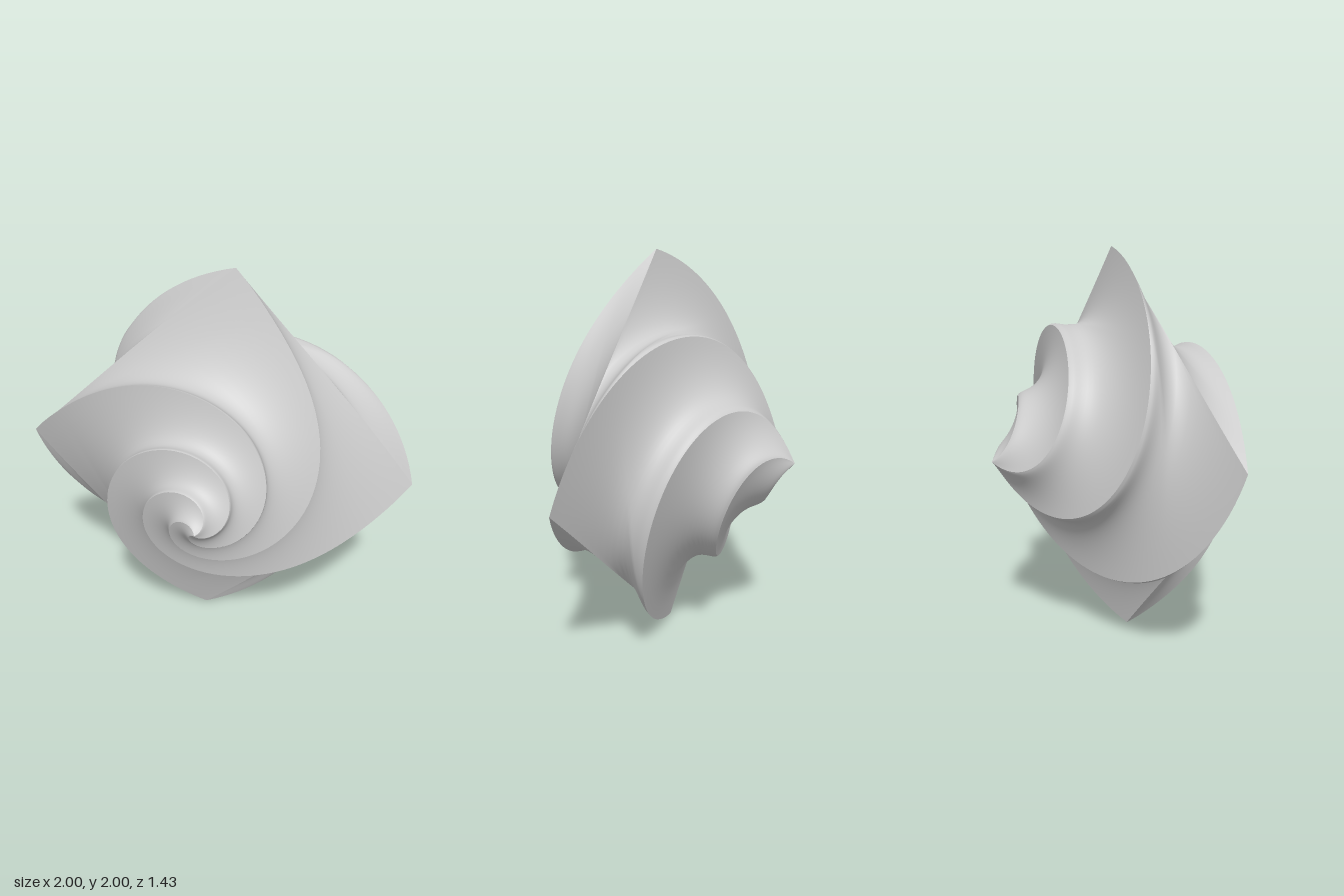
import * as THREE from 'three';
import { ParametricGeometry } from 'three/addons/geometries/ParametricGeometry.js';

const HALF = 0.715;         // distance from the rim to either point
const START = 85.6;         // angle of the first corner at the rim, degrees
const RAD = Math.PI / 180;

// Twist in degrees at depth z: steady at the back, quickening towards the front
const twist = z => z < 0 ? -270 * z + 80 * z * z : -(110 * z + 1150 * z ** 3 - 600 * z ** 4);

// Each side swells under the ridge that overhangs it, hardly at all near the rim
const swell = (u, z) => 6.75 * u * (1 - u) * (z < 0
  ? (1 - u) * (0.02 + 0.11 * Math.min(-z / 0.15, 1))
  : (1 - u) * 0.02 * Math.max(1 - z / 0.1, 0) + u * 0.3 * Math.min(z, 0.4));

// One side of the twisted four-sided spire, between two neighbouring ridges
function sidePatch(side, z0, z1) {
  const geometry = new ParametricGeometry((u, v, target) => {
    const z = z0 + (z1 - z0) * v;
    const r = 1.003 * (1 - Math.abs(z) / HALF);
    const a = (START + side * 90 + twist(z)) * RAD;
    const b = a + Math.PI / 2;
    const k = r * (1 + swell(u, z));
    target.set(
      k * (Math.cos(a) * (1 - u) + Math.cos(b) * u),
      k * (Math.sin(a) * (1 - u) + Math.sin(b) * u),
      z
    );
  }, 16, 72);
  geometry.computeVertexNormals();
  return geometry;
}

export function createModel() {
  const model = new THREE.Group();
  model.name = 'twistedSpire';
  const material = new THREE.MeshStandardMaterial({ color: 0xcccccc, side: THREE.DoubleSide });

  // Two spiral halves that meet in a sharp rim at z = 0
  for (const [name, z0, z1] of [['frontSpiral', 0, HALF], ['backSpiral', -HALF, 0]]) {
    const half = new THREE.Group();
    half.name = name;
    for (let side = 0; side < 4; side++) {
      const mesh = new THREE.Mesh(sidePatch(side, z0, z1), material);
      mesh.name = name + 'Side' + (side + 1);
      half.add(mesh);
    }
    half.position.y = 1;
    model.add(half);
  }
  return model;
}
